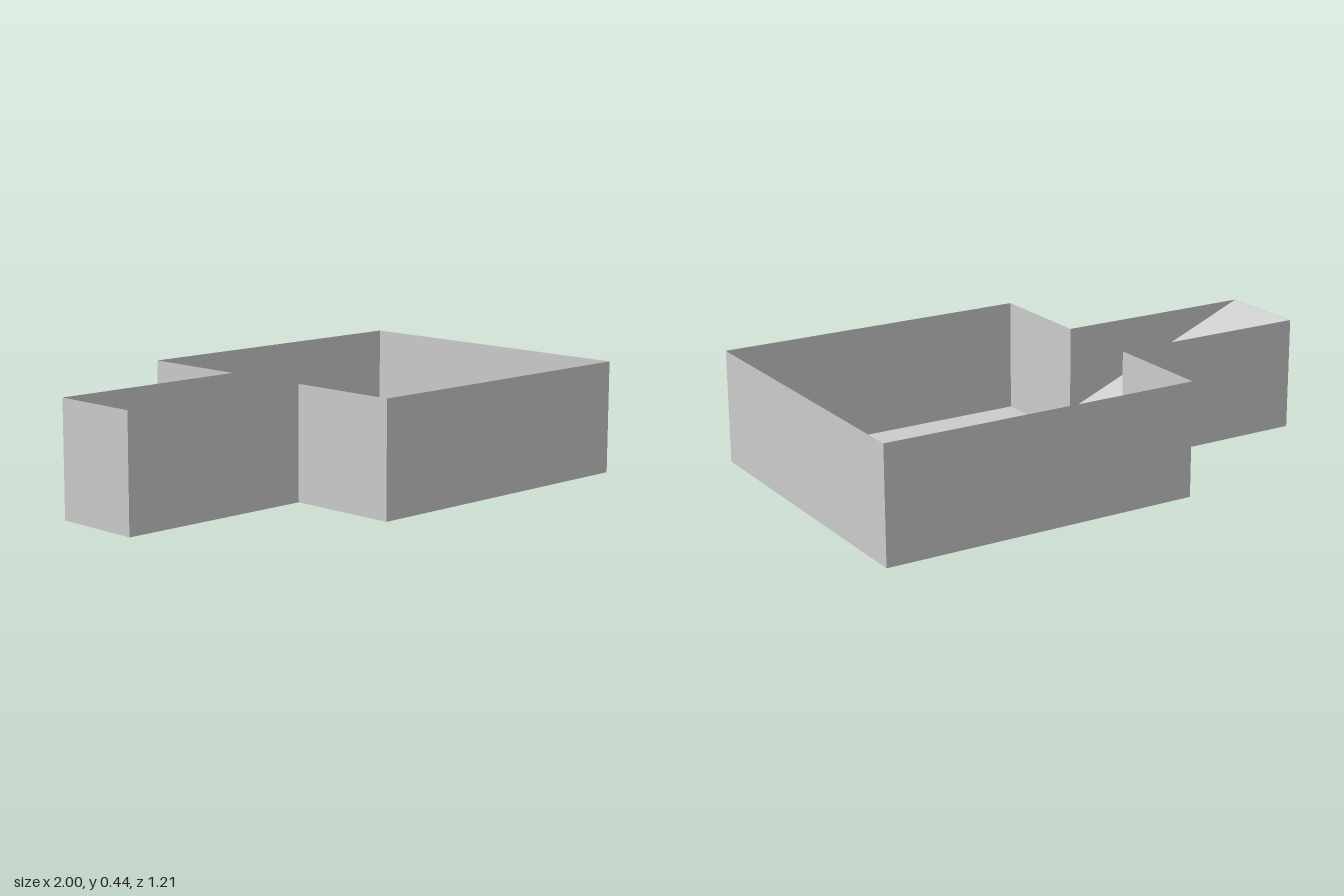
import * as THREE from 'three';

const FLOOR = 0.01, TOP = 0.44;

export function createModel() {
  const model = new THREE.Group();
  const grey = new THREE.MeshStandardMaterial({ color: 0xcccccc, side: THREE.DoubleSide, flatShading: true });
  grey.name = 'plain grey';

  const add = (name, geometry, parent = model) => {
    const mesh = new THREE.Mesh(geometry, grey);
    mesh.name = name;
    parent.add(mesh);
    return mesh;
  };

  // Plan of the room and its entrance corridor, as [x, z] corners
  const plan = [
    [-0.22, 0.607], [1, 0.607], [1, -0.607], [-0.22, -0.607],
    [-0.22, -0.178], [-1, -0.178], [-1, 0.172], [-0.22, 0.172],
  ];

  // Floor sheet
  const outline = new THREE.Shape(plan.map(([x, z]) => new THREE.Vector2(x, -z)));
  add('floor', new THREE.ShapeGeometry(outline).rotateX(-Math.PI / 2)).position.y = FLOOR;

  // Thin upright walls, one along each side of the plan
  const walls = new THREE.Group();
  walls.name = 'walls';
  model.add(walls);
  plan.forEach(([x, z], i) => {
    const [x2, z2] = plan[(i + 1) % plan.length];
    const wall = add('wall', new THREE.PlaneGeometry(Math.hypot(x2 - x, z2 - z), TOP - FLOOR), walls);
    wall.position.set((x + x2) / 2, (TOP + FLOOR) / 2, (z + z2) / 2);
    wall.rotation.y = Math.atan2(z - z2, x2 - x);
  });

  // Ramp wedge running from the corridor's far end down into the room
  const wedge = new THREE.Shape([
    new THREE.Vector2(-0.999, FLOOR + 0.001),
    new THREE.Vector2(0.04, FLOOR + 0.001),
    new THREE.Vector2(-0.999, TOP - 0.001),
  ]);
  const ramp = new THREE.ExtrudeGeometry(wedge, { depth: 0.348, bevelEnabled: false });
  add('ramp', ramp).position.z = -0.177;

  // Two rows of four-sided floor spikes, poking slightly below the floor
  const spikes = new THREE.Group();
  spikes.name = 'spikes';
  model.add(spikes);
  const height = 0.088;
  const spike = new THREE.ConeGeometry(0.05, height, 4);
  for (const z of [-0.175, 0.167]) {
    for (const x of [0.22, 0.39, 0.555, 0.72, 0.88]) {
      add('spike', spike, spikes).position.set(x, height / 2, z);
    }
  }
  return model;
}
